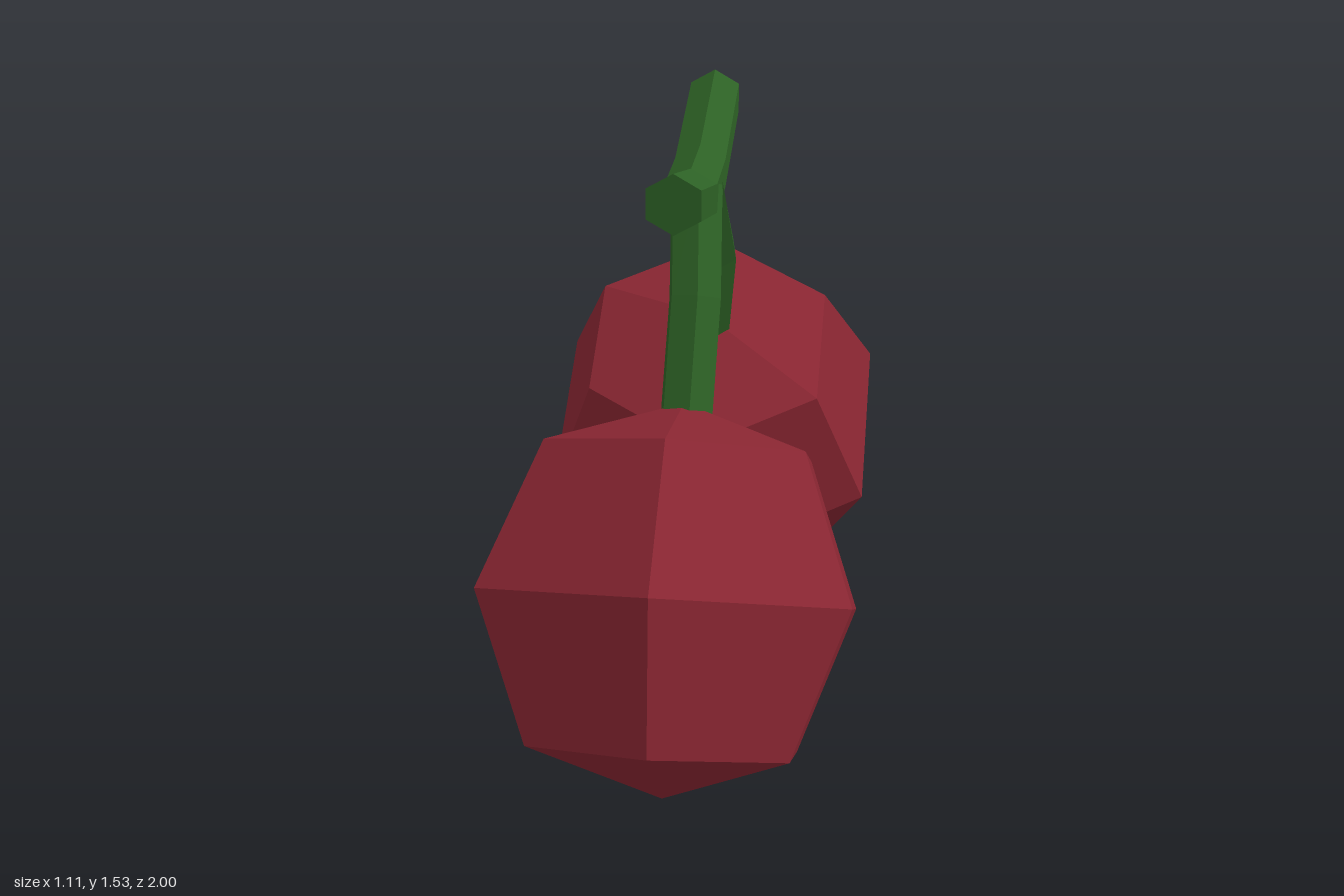
import * as THREE from 'three';

const V = (x, y, z) => new THREE.Vector3(x, y, z);
const SIDES = 6;

// Six-sided solid swept through rings of { at, normal }, with closed ends
function sweep(rings, up, radius) {
  const pos = [], index = [];
  for (const { at, normal } of rings) {
    const n = normal.clone().normalize();
    const u = up.clone().addScaledVector(n, -up.dot(n)).normalize();
    const w = n.clone().cross(u);
    for (let i = 0; i < SIDES; i++) {
      const a = (i / SIDES) * Math.PI * 2;
      const p = at.clone().addScaledVector(u, radius * Math.cos(a)).addScaledVector(w, radius * Math.sin(a));
      pos.push(p.x, p.y, p.z);
    }
  }
  for (let r = 0; r < rings.length - 1; r++) {
    for (let i = 0; i < SIDES; i++) {
      const a = r * SIDES + i, b = r * SIDES + (i + 1) % SIDES;
      index.push(a, b, b + SIDES, a, b + SIDES, a + SIDES);
    }
  }
  const last = (rings.length - 1) * SIDES;
  for (let i = 1; i < SIDES - 1; i++) {
    index.push(0, i + 1, i, last, last + i, last + i + 1);
  }
  const g = new THREE.BufferGeometry();
  g.setAttribute('position', new THREE.Float32BufferAttribute(pos, 3));
  g.setIndex(index);
  g.computeVertexNormals();
  return g;
}

// Path points to rings whose planes halve each bend
function bentPath(points) {
  return points.map((at, i) => {
    const dir = V(0, 0, 0);
    if (i > 0) dir.add(at.clone().sub(points[i - 1]).normalize());
    if (i < points.length - 1) dir.add(points[i + 1].clone().sub(at).normalize());
    return { at, normal: dir };
  });
}

export function createModel() {
  const model = new THREE.Group();
  model.name = 'cherryPair';
  const red = new THREE.MeshStandardMaterial({ color: 0x8a2632, flatShading: true });
  red.name = 'cherryRed';
  const green = new THREE.MeshStandardMaterial({ color: 0x2d6125, flatShading: true });
  green.name = 'stemGreen';
  const yaw = -Math.PI / 18;

  const add = (name, geometry, material) => {
    const mesh = new THREE.Mesh(geometry, material);
    mesh.name = name;
    model.add(mesh);
    return mesh;
  };

  // Fruits: faceted balls with slightly flattened poles, tilted towards the stems
  const profile = [[0, -0.475], [0.356, -0.358], [0.503, 0], [0.356, 0.358], [0, 0.475]];
  const ball = new THREE.LatheGeometry(profile.map(([x, y]) => new THREE.Vector2(x, y)), SIDES);
  for (const [name, s] of [['frontCherry', 1], ['backCherry', -1]]) {
    const fruit = add(name, ball, red);
    fruit.position.set(-0.087 * s, 0.49, 0.52 * s);
    fruit.rotation.set(-Math.PI / 6, yaw + (s < 0 ? Math.PI : 0), 0, 'YXZ');
  }

  // Crossbar: flat in the middle, rising to vertically cut ends
  const bar = [[-0.45, 1.46], [-0.1, 1.362], [0.1, 1.362], [0.45, 1.46]];
  const barRings = bar.map(([z, y]) => ({ at: V(0, y, z), normal: V(0, 0, 1) }));
  add('crossbar', sweep(barRings, V(0, 1, 0), 0.073), green).rotation.y = yaw;

  // Stems: each bends once on its way down into the fruit
  const stems = {
    frontStem: [V(0, 1.37, 0.04), V(-0.013, 1.13, 0.175), V(-0.045, 0.84, 0.31)],
    backStem: [V(0.005, 1.37, -0.04), V(0.055, 1.11, -0.205), V(0.045, 0.84, -0.31)],
  };
  for (const [name, path] of Object.entries(stems)) {
    add(name, sweep(bentPath(path), V(0, 0, 1), 0.069), green);
  }

  return model;
}
